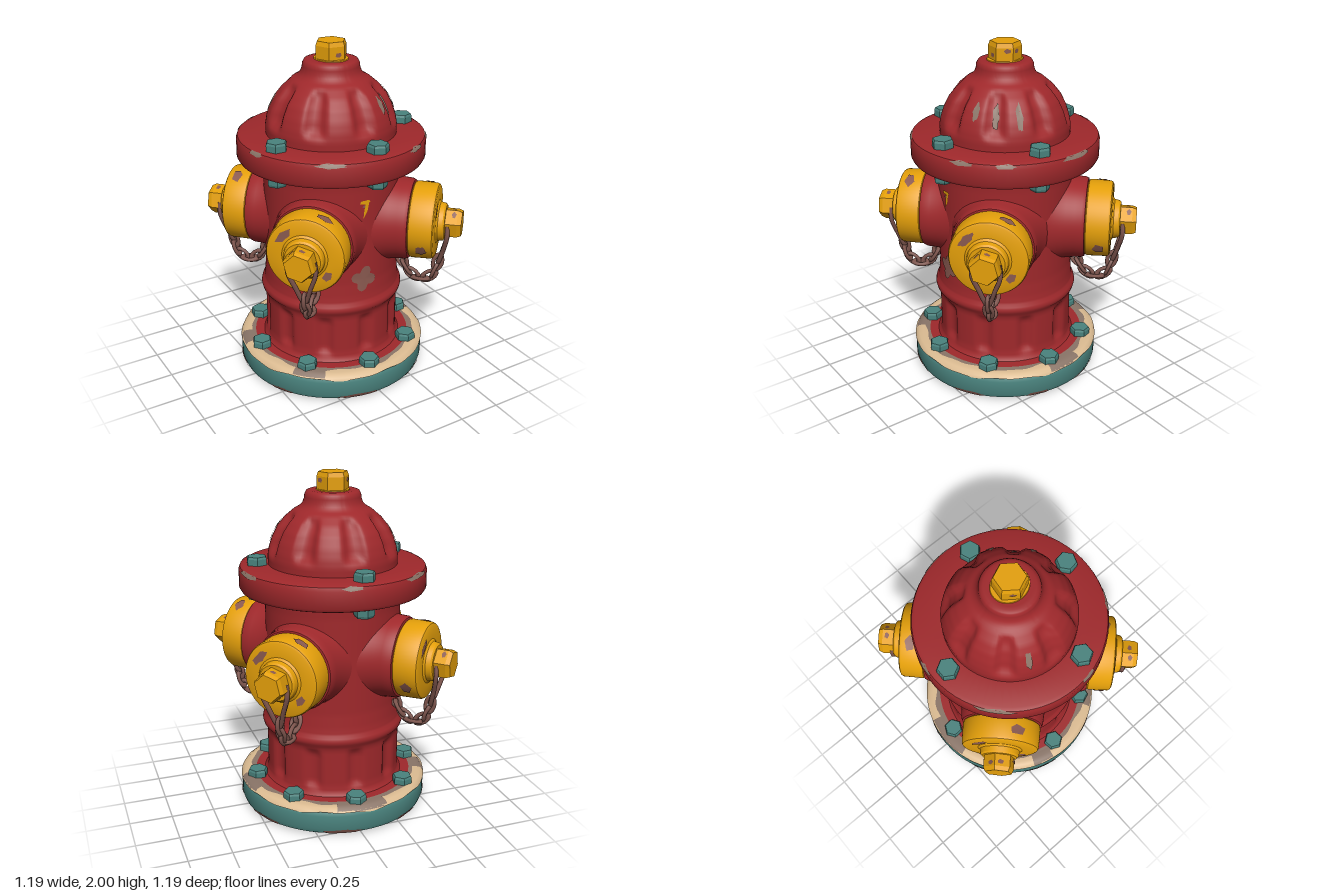
import * as THREE from 'three';
import { toCreasedNormals, mergeGeometries } from 'three/addons/utils/BufferGeometryUtils.js';

const mat = (name, color, side = THREE.FrontSide) => {
  const m = new THREE.MeshStandardMaterial({ color, side });
  m.name = name;
  return m;
};

export function createModel() {
  const red = mat('red paint', 0x9f282b);
  const yellow = mat('yellow paint', 0xe5a00a);
  const teal = mat('teal paint', 0x4a837e);
  const cream = mat('cream primer', 0xdcbc92, THREE.DoubleSide);
  const rust = mat('rust', 0x8a5a50, THREE.DoubleSide);
  const iron = mat('chain iron', 0x80574f);
  const bare = mat('bare metal', 0x8a7568, THREE.DoubleSide);

  const model = new THREE.Group();
  model.name = 'hydrant';
  const core = new THREE.Group();
  core.name = 'core';
  core.position.x = -0.015;
  model.add(core);

  const add = (parent, name, geo, material) => {
    const mesh = new THREE.Mesh(geo, material);
    mesh.name = name;
    parent.add(mesh);
    return mesh;
  };
  const smooth = (a, b, x) => THREE.MathUtils.smoothstep(x, a, b);
  const vec3 = (p) => new THREE.Vector3(...p);
  const vec2 = (p) => new THREE.Vector2(...p);

  // Turned solid from [radius, y] points, optionally reshaped by dent(angle, y)
  const lathe = (profile, { segs = 64, dent, crease = 0.6 } = {}) => {
    const pts = [];
    profile.forEach(([r, y], i) => {
      const [r0, y0] = profile[Math.max(i - 1, 0)];
      const n = dent && i ? Math.ceil(Math.hypot(r - r0, y - y0) / 0.02) : 1;
      for (let k = 1; k <= n; k++) {
        pts.push(new THREE.Vector2(r0 + ((r - r0) * k) / n, y0 + ((y - y0) * k) / n));
      }
    });
    const geo = new THREE.LatheGeometry(pts, segs);
    const p = geo.attributes.position;
    for (let i = 0; dent && i < p.count; i++) {
      const x = p.getX(i), z = p.getZ(i), r = Math.hypot(x, z);
      if (r < 0.01) continue;
      const s = (r - dent(Math.atan2(x, z), p.getY(i))) / r;
      p.setX(i, x * s);
      p.setZ(i, z * s);
    }
    return toCreasedNormals(geo, crease);
  };
  // Evenly spaced upright grooves with soft sides and ends
  const grooves = (count, depth, half, y0, y1, r) => (a, y) => {
    const step = (Math.PI * 2) / count;
    const off = Math.abs(a - Math.round(a / step) * step) * r;
    return depth * (1 - smooth(half * 0.25, half, off)) * smooth(y0, y0 + 0.06, y) * (1 - smooth(y1 - 0.06, y1, y));
  };

  // Worn paint: thin fan of points laid on a turned surface
  const radiusAt = (profile) => (y) => {
    for (let i = 1; i < profile.length; i++) {
      const [r0, y0] = profile[i - 1], [r1, y1] = profile[i];
      if (y >= y0 && y <= y1 && y1 > y0) return r0 + ((r1 - r0) * (y - y0)) / (y1 - y0);
    }
    return profile[profile.length - 1][0];
  };
  const blob = (w, h, seed) => Array.from({ length: 14 }, (_, i) => {
    const t = (i / 14) * Math.PI * 2, k = 0.9 + 0.14 * Math.sin(i * 2.1 + seed * 1.9);
    return [w * k * Math.cos(t), h * k * Math.sin(t)];
  });
  const chip = (outline, angle, y, radius, lift = 0.005) => {
    const ring = [[0, 0], ...outline];
    const pos = [], idx = [];
    ring.forEach(([u, v]) => {
      const r = radius(y + v) + lift, a = angle + u / r;
      pos.push(r * Math.sin(a), y + v, r * Math.cos(a));
    });
    for (let i = 1; i < ring.length; i++) idx.push(0, i, i === ring.length - 1 ? 1 : i + 1);
    const geo = new THREE.BufferGeometry();
    geo.setAttribute('position', new THREE.Float32BufferAttribute(pos, 3));
    geo.setIndex(idx);
    geo.computeVertexNormals();
    return geo;
  };
  const flatChip = (w, h, seed) => new THREE.ShapeGeometry(new THREE.Shape(blob(w, h, seed).map(vec2)));

  const hex = (r, h, top = 0.9) => {
    const rim = new THREE.CylinderGeometry(r * top, r, h * 0.25, 6);
    rim.translate(0, h * 0.375, 0);
    const shank = new THREE.CylinderGeometry(r, r, h * 0.75, 6, 1, true);
    shank.translate(0, -h * 0.125, 0);
    return toCreasedNormals(mergeGeometries([shank, rim]), 0.3);
  };

  // Base plate: painted rim, rusty lower edge, red inner top and underside
  const baseProfile = [[0.535, 0.01], [0.553, 0.022], [0.563, 0.05], [0.563, 0.13], [0.556, 0.156], [0.54, 0.171], [0.52, 0.175], [0.465, 0.175]];
  add(core, 'baseRim', lathe(baseProfile), teal);
  add(core, 'baseLowerEdge', lathe([[0.48, 0.003], [0.515, 0.005], [0.535, 0.01]]), rust);
  add(core, 'baseUnderside', lathe([[0, 0.002], [0.481, 0.003]]), red);
  add(core, 'baseTop', lathe([[0.48, 0.176], [0.38, 0.179]]), red);
  add(core, 'baseBareRing', lathe([[0.52, 0.1765], [0.474, 0.178]]), bare);

  // Worn primer band with ragged edges around the top of the base
  const band = new THREE.LatheGeometry([[0.566, 0.153], [0.559, 0.162], [0.543, 0.175], [0.52, 0.179], [0.503, 0.179]].map(vec2), 96);
  const bp = band.attributes.position;
  for (let i = 0; i < bp.count; i++) {
    const k = i % 5, a = Math.atan2(bp.getX(i), bp.getZ(i));
    const wave = Math.sin(a * 7 + 1) + 0.6 * Math.sin(a * 17);
    if (k === 0) bp.setY(i, bp.getY(i) + wave * 0.006);
    if (k === 4) {
      const s = 1 + wave * 0.018;
      bp.setXYZ(i, bp.getX(i) * s, bp.getY(i), bp.getZ(i) * s);
    }
  }
  add(core, 'baseWornBand', toCreasedNormals(band, 0.8), cream);
  // Stretches where the primer has gone too
  [[2.85, 0.55], [-0.95, 0.35], [1.45, 0.4], [4.3, 0.25]].forEach(([start, length]) => {
    const pts = [[0.564, 0.156], [0.546, 0.177], [0.52, 0.182], [0.49, 0.181]].map(vec2);
    add(core, 'baseBareStretch', new THREE.LatheGeometry(pts, 12, start, length), bare);
  });

  const baseR = radiusAt(baseProfile);
  [[-0.25, 0.13], [0.55, 0.11], [1.3, 0.08], [2.0, 0.13], [2.9, 0.12], [3.7, 0.1], [4.4, 0.13], [5.2, 0.08]].forEach(([a, w], i) => {
    add(core, 'baseRustChip', chip(blob(w, 0.016, i), a, 0.031, baseR, 0.005), rust);
  });
  for (let i = 0; i < 8; i++) {
    const a = (i * Math.PI) / 4 - 0.05;
    const bolt = add(core, 'baseBolt', hex(0.06, 0.05), teal);
    bolt.position.set(0.475 * Math.sin(a), 0.197, 0.475 * Math.cos(a));
    bolt.rotation.y = i * 0.8;
  }

  // Barrel with fluted foot and a bead
  const barrel = [[0.425, 0.17], [0.405, 0.2], [0.4, 0.24], [0.4, 0.46], [0.408, 0.49], [0.42, 0.505], [0.425, 0.525], [0.42, 0.545], [0.408, 0.56], [0.402, 0.6], [0.396, 0.68], [0.396, 1.25], [0.402, 1.35]];
  add(core, 'barrel', lathe(barrel, { segs: 144, dent: grooves(10, 0.024, 0.062, 0.2, 0.48, 0.4), crease: 0.8 }), red);

  // Flange with bolts above and nuts below
  const flange = [[0.38, 1.33], [0.515, 1.33], [0.533, 1.337], [0.543, 1.355], [0.543, 1.45], [0.535, 1.472], [0.515, 1.482], [0.36, 1.482]];
  add(core, 'flange', lathe(flange), red);
  [[-0.02, -0.45], [0.43, 0.08], [0.03, 0.44], [-0.425, 0.14]].forEach(([x, z], i) => {
    const bolt = add(core, 'flangeBolt', hex(0.062, 0.05), teal);
    bolt.position.set(x, 1.505, z);
    bolt.rotation.y = 0.5 + i * 0.35;
    const nut = add(core, 'flangeNut', hex(0.058, 0.055), teal);
    nut.position.set(x, 1.305, z);
    nut.rotation.set(Math.PI, i * 0.5, 0);
  });

  // Fluted dome, neck and operating nut
  const dome = [[0.374, 1.475], [0.374, 1.53], [0.366, 1.575], [0.348, 1.63], [0.318, 1.69], [0.278, 1.74], [0.225, 1.785], [0.19, 1.805], [0.172, 1.825], [0.163, 1.85], [0.16, 1.875], [0.15, 1.893], [0.135, 1.898], [0, 1.898]];
  add(core, 'dome', lathe(dome, { segs: 128, dent: grooves(8, 0.036, 0.068, 1.53, 1.79, 0.31), crease: 0.9 }), red);
  const neckPaint = add(core, 'neckPaint', lathe([[0.108, 1.896], [0.105, 1.903], [0, 1.903]]), yellow);
  neckPaint.scale.x = 0.88;
  const topNut = add(core, 'topNut', hex(0.093, 0.1, 0.9), yellow);
  topNut.position.y = 1.95;
  topNut.rotation.y = 0.4;
  // Rubbed spots on the sides of a hex nut
  const nutChips = (nut, apothem, faces) => faces.forEach(([face, u, v]) => {
    const a = Math.PI / 6 + (face * Math.PI) / 3;
    const spot = add(nut, 'nutChip', flatChip(0.02, 0.014, face), rust);
    spot.position.set(apothem * Math.sin(a) + u * Math.cos(a), v, apothem * Math.cos(a) - u * Math.sin(a));
    spot.rotation.y = a;
  });
  nutChips(topNut, 0.083, [[0, 0.015, 0.008], [1, -0.015, 0.005], [3, 0.01, 0.005], [5, 0.01, -0.02]]);

  // Worn patches on barrel, flange and dome
  const barrelR = radiusAt(barrel), flangeR = radiusAt(flange), domeR = radiusAt(dome);
  const leaf = Array.from({ length: 32 }, (_, i) => {
    const t = (i / 32) * Math.PI * 2, r = 0.08 * (0.55 + 0.45 * Math.abs(Math.cos(2 * t + 0.5)));
    return [r * Math.cos(t), r * Math.sin(t)];
  });
  add(core, 'barrelLeafPatch', chip(leaf, -0.05, 0.705, barrelR), rust);
  add(core, 'barrelYellowPatch', chip([[-0.014, -0.055], [0.012, -0.01], [0.022, 0.04], [0, 0.04], [-0.008, 0]], -0.04, 1.135, barrelR), yellow);
  add(core, 'barrelYellowPatch', chip(blob(0.038, 0.013, 5), -0.045, 1.18, barrelR), yellow);
  add(core, 'barrelYellowPatchEdge', chip(blob(0.012, 0.008, 3), -0.06, 1.155, barrelR), rust);
  [[0.5, 0.07], [0.95, 0.06], [1.75, 0.12], [3.0, 0.06], [3.85, 0.13], [4.9, 0.06], [5.75, 0.09]].forEach(([a, w], i) => {
    add(core, 'flangeChip', chip(blob(w, 0.013, i), a, 1.465, flangeR, 0.004), bare);
  });
  add(core, 'domeGrooveChip', chip(blob(0.02, 0.07, 1), Math.PI / 4, 1.655, domeR, -0.027), bare);
  [[0.45, 1.68, 0.05], [1.18, 1.66, 0.075], [4.3, 1.66, 0.06]].forEach(([a, y, h], i) => {
    add(core, 'domeChip', chip(blob(0.02, h, i), a, y, domeR, 0.005), bare);
  });

  // Outlet pointing along local +z: pipe, cap, nut and hanging chain
  const outward = (geo) => geo.rotateX(Math.PI / 2);
  const pipeProfile = [[0.29, 0.25], [0.272, 0.285], [0.257, 0.325], [0.246, 0.37], [0.24, 0.42], [0.238, 0.46], [0.23, 0.478], [0.2, 0.482]];
  const capProfile = [[0, 0.478], [0.212, 0.478], [0.222, 0.486], [0.225, 0.5], [0.222, 0.608], [0.216, 0.62], [0.205, 0.626], [0.128, 0.628], [0.115, 0.638], [0.11, 0.665], [0.1, 0.675], [0, 0.676]];
  const strand = new THREE.CatmullRomCurve3([[0.07, 0.01, 0.69], [0.078, -0.06, 0.692], [0.045, -0.16, 0.672], [0, -0.27, 0.64], [-0.045, -0.16, 0.672], [-0.078, -0.06, 0.692], [-0.07, 0.01, 0.69]].map(vec3));
  const hang = new THREE.CatmullRomCurve3([[0, -0.24, 0.645], [0, -0.345, 0.61], [0, -0.385, 0.54], [0, -0.345, 0.47], [0, -0.25, 0.41]].map(vec3));
  const linkGeo = new THREE.TorusGeometry(0.026, 0.012, 6, 14);
  linkGeo.scale(1, 1.75, 1);

  for (let k = 0; k < 4; k++) {
    const outlet = new THREE.Group();
    outlet.name = 'outlet';
    outlet.position.y = 0.97;
    outlet.rotation.y = Math.PI / 4 + (k * Math.PI) / 2;
    model.add(outlet);

    add(outlet, 'outletPipe', outward(lathe(pipeProfile)), red);
    add(outlet, 'outletCap', outward(lathe(capProfile)), yellow);
    const nut = add(outlet, 'outletNut', hex(0.09, 0.1, 0.88), yellow);
    nut.position.z = 0.718;
    nut.rotation.set(Math.PI / 2, 0.25, 0);
    nutChips(nut, 0.08, [[2, 0.01, 0], [3, -0.015, 0.005]]);

    // Chips around the cap wall and on its face
    [[2.7, 0.05, 0.03], [5.2, 0.04, 0.035]].forEach(([a, w, h], i) => {
      add(outlet, 'capChip', outward(chip(blob(w, h, i + k), a, 0.56, () => 0.224, 0.004)), rust);
    });
    [[-0.118, 0.112, 0.062, -0.78], [0.125, -0.1, 0.035, -0.7]].forEach(([x, y, h, turn], i) => {
      const spot = add(outlet, 'capFaceChip', flatChip(0.024, h, i + k), rust);
      spot.position.set(x, y, 0.631);
      spot.rotation.z = turn;
    });

    const chain = new THREE.Group();
    chain.name = 'chain';
    outlet.add(chain);
    add(chain, 'chainStrand', new THREE.TubeGeometry(strand, 40, 0.014, 6), iron);
    const count = 7;
    for (let i = 0; i < count; i++) {
      const t = (i + 0.5) / count;
      const link = add(chain, 'chainLink', linkGeo, iron);
      link.position.copy(hang.getPointAt(t));
      link.quaternion.setFromUnitVectors(new THREE.Vector3(0, 1, 0), hang.getTangentAt(t));
      link.rotateY(i % 2 ? 0.2 : Math.PI / 2);
    }
    const eye = add(chain, 'chainEye', new THREE.CylinderGeometry(0.018, 0.024, 0.06, 10), red);
    eye.rotation.x = Math.PI / 2;
    eye.position.set(0, -0.24, 0.405);
  }
  return model;
}
